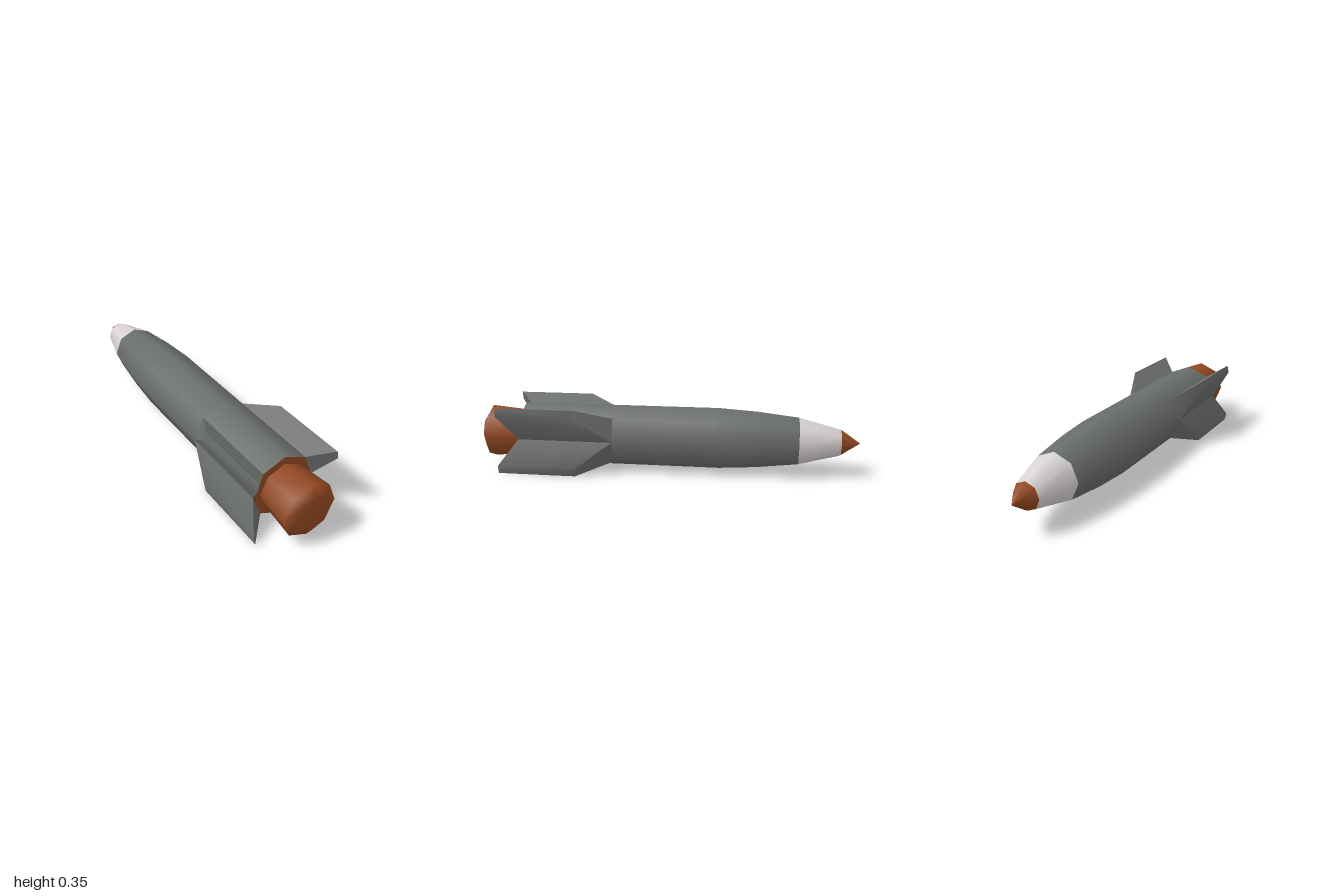
import * as THREE from 'three';
import { toCreasedNormals } from 'three/addons/utils/BufferGeometryUtils.js';

const AXIS_Y = 0.178; // height of the long axis
const R = 0.165;      // hull radius
const TAIL = 0.78;    // z of the hull's rear end
const SIDES = 8;

// Eight-sided lathe along z; profile is [radius, z], from tail to nose
function latheZ(profile) {
  const points = profile.map(([r, z]) => new THREE.Vector2(r, -z));
  return new THREE.LatheGeometry(points, SIDES).rotateX(-Math.PI / 2);
}

// Fin: a wedge growing from one whole side of the hull to a narrow tip
function finGeometry() {
  const d = R * Math.SQRT1_2;
  const p = [
    [R, 0, 0.28], [d, d, 0.28], [0.213, 0.176, 0.465], [0.222, 0.135, 0.465],    // leading end
    [R, 0, TAIL], [d, d, TAIL], [0.213, 0.176, 0.88], [0.222, 0.135, 0.88],      // trailing end
  ];
  const quads = [[0, 1, 2, 3], [4, 7, 6, 5], [0, 3, 7, 4], [1, 5, 6, 2], [3, 2, 6, 7]];
  const geo = new THREE.BufferGeometry();
  geo.setAttribute('position', new THREE.Float32BufferAttribute(p.flat(), 3));
  geo.setIndex(quads.flatMap(([a, b, c, e]) => [a, b, c, a, c, e]));
  return toCreasedNormals(geo, 0.7);
}

// Mirror by scaling, turning the triangles over when needed
function mirrored(source, sx, sy) {
  const geo = source.clone().scale(sx, sy, 1);
  if (sx * sy < 0) {
    for (const name of ['position', 'normal']) {
      const a = geo.attributes[name];
      for (let i = 0; i < a.count; i += 3) {
        const b = [a.getX(i + 1), a.getY(i + 1), a.getZ(i + 1)];
        a.setXYZ(i + 1, a.getX(i + 2), a.getY(i + 2), a.getZ(i + 2));
        a.setXYZ(i + 2, ...b);
      }
    }
  }
  return geo;
}

export function createModel() {
  const make = (name, color) => {
    const m = new THREE.MeshStandardMaterial({ color });
    m.name = name;
    return m;
  };
  const grey = make('hull grey', 0x6a6e6b);
  const white = make('band white', 0xdad4d4);
  const rust = make('rust orange', 0x924821);

  const rocket = new THREE.Group();
  rocket.name = 'rocket';
  const add = (name, geometry, material) => {
    const mesh = new THREE.Mesh(geometry, material);
    mesh.name = name;
    mesh.position.y = AXIS_Y;
    rocket.add(mesh);
  };

  // Hull with white band and coloured tip, one smooth skin
  const profile = [
    [R, TAIL], [R, 0.28], [R, -0.27], [0.152, -0.47], [0.127, -0.685], [0.07, -0.9], [0, -1],
  ];
  const hull = latheZ(profile);
  const rows = profile.length - 1;
  // the lathe lists its faces strip by strip, from tail to nose
  for (let i = 0; i < SIDES; i++) {
    const start = i * rows * 6;
    hull.addGroup(start, (rows - 2) * 6, 0);
    hull.addGroup(start + (rows - 2) * 6, 6, 1);
    hull.addGroup(start + (rows - 1) * 6, 6, 2);
  }
  add('hull', hull, [grey, white, rust]);

  // Rear plate and engine nozzle
  add('tailPlate', new THREE.CircleGeometry(R, SIDES).translate(0, 0, TAIL), rust);
  add('nozzle', latheZ([[0, 1], [0.095, 1], [0.143, 0.97], [0.125, TAIL]]), rust);

  // Four fins
  const fin = finGeometry();
  for (const [side, sx] of [['Left', 1], ['Right', -1]]) {
    for (const [level, sy] of [['upper', 1], ['lower', -1]]) {
      add(`${level}${side}Fin`, mirrored(fin, sx, sy), grey);
    }
  }
  return rocket;
}
